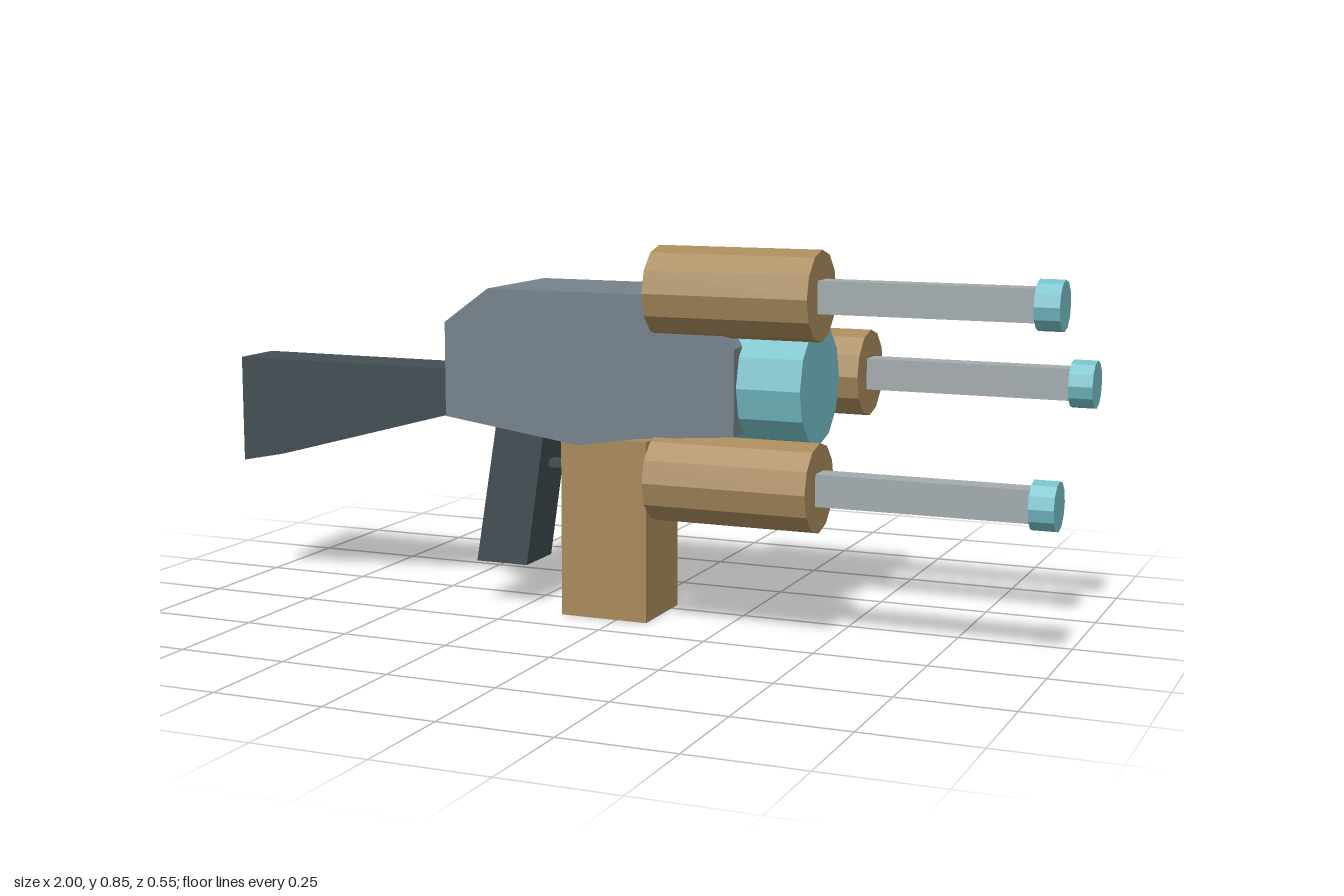
import * as THREE from 'three';

const mat = (color) => new THREE.MeshStandardMaterial({ color, flatShading: true });

export function createModel() {
  const model = new THREE.Group();
  const steel = mat(0x76828c), dark = mat(0x434e54), brass = mat(0xa98a5c);
  const cyan = mat(0x76c0c9), silver = mat(0xa3abae);
  const midZ = 0.06;

  const add = (name, geometry, material, parent = model) => {
    const mesh = new THREE.Mesh(geometry, material);
    mesh.name = name;
    parent.add(mesh);
    return mesh;
  };

  // Side profile extruded across z, centred on the body plane
  const slab = (name, points, width, material) => {
    const shape = new THREE.Shape(points.map(([x, y]) => new THREE.Vector2(x, y)));
    const geometry = new THREE.ExtrudeGeometry(shape, { depth: width, bevelEnabled: false });
    geometry.translate(0, 0, midZ - width / 2);
    return add(name, geometry, material);
  };

  // Twelve-sided cylinder running along x from x0 to x1
  const drum = (name, radius, x0, x1, material, parent) => {
    const geometry = new THREE.CylinderGeometry(radius, radius, x1 - x0, 12);
    geometry.rotateZ(-Math.PI / 2).translate((x0 + x1) / 2, 0, 0);
    return add(name, geometry, material, parent);
  };

  // Receiver, stock, grip
  slab('body', [
    [-0.4, 0.45], [-0.07, 0.404], [0.08, 0.428], [0.3, 0.445],
    [0.3, 0.636], [0.2, 0.745], [-0.29, 0.745], [-0.4, 0.665],
  ], 0.29, steel);
  slab('stock', [
    [-1, 0.295], [-0.89, 0.317], [-0.39, 0.452], [-0.39, 0.547], [-1, 0.547],
  ], 0.13, dark);
  slab('grip', [[-0.366, 0.1], [-0.238, 0.1], [-0.187, 0.45], [-0.309, 0.45]], 0.13, dark);

  // Trigger and magazine
  add('trigger', new THREE.BoxGeometry(0.09, 0.018, 0.03), dark).position.set(-0.165, 0.333, midZ);
  add('magazine', new THREE.BoxGeometry(0.208, 0.412, 0.186), brass).position.set(-0.031, 0.206, midZ);

  // Central muzzle drum
  drum('muzzleDrum', 0.134, 0.15, 0.445, cyan).position.set(0, 0.549, midZ);

  // Three barrels: housing, square rod and tip
  for (const [y, z] of [[0.754, 0.179], [0.549, -0.178], [0.343, 0.179]]) {
    const barrel = new THREE.Group();
    barrel.name = 'barrel';
    barrel.position.set(0, y, z);
    drum('housing', 0.098, 0.115, 0.486, brass, barrel);
    add('rod', new THREE.BoxGeometry(0.48, 0.07, 0.056), silver, barrel).position.x = 0.715;
    drum('tip', 0.053, 0.947, 1, cyan, barrel);
    model.add(barrel);
  }
  return model;
}
